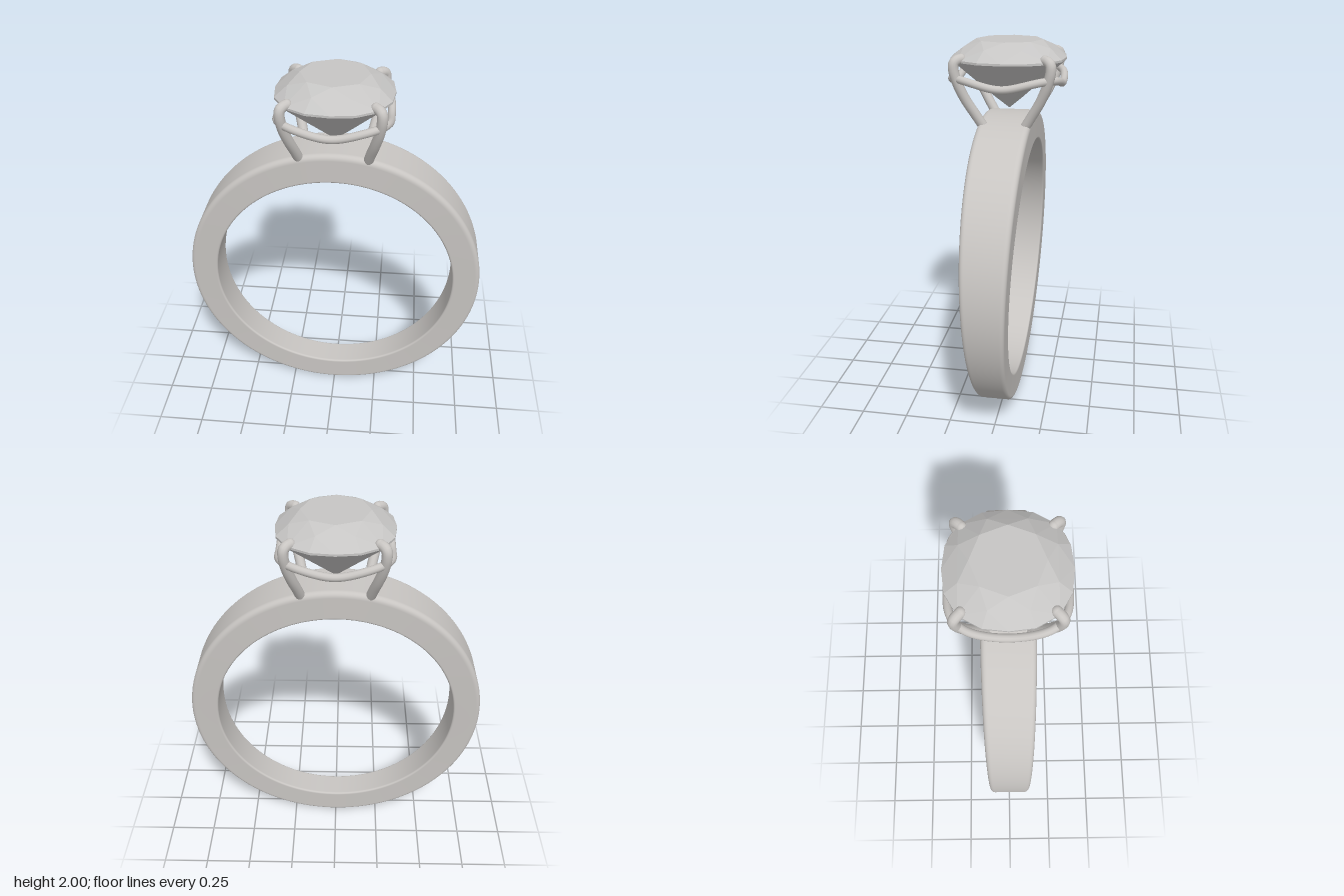
import * as THREE from 'three';
import { ConvexGeometry } from 'three/addons/geometries/ConvexGeometry.js';

const metal = new THREE.MeshStandardMaterial({ color: 0xc8c5c2 });
metal.name = 'polished metal';
const stone = new THREE.MeshStandardMaterial({ color: 0xc6c5c4 });
stone.name = 'clear stone';

function add(parent, name, geometry, material) {
  const mesh = new THREE.Mesh(geometry, material);
  mesh.name = name;
  parent.add(mesh);
  return mesh;
}

// Point on a rounded-square outline
function cushion(t, radius, power, y) {
  const c = Math.cos(t), s = Math.sin(t);
  const k = radius / Math.pow(Math.abs(c) ** power + Math.abs(s) ** power, 1 / power);
  return new THREE.Vector3(c * k, y, s * k);
}

// Rounded rectangle section (r across, z up), counterclockwise
function bandSection(inner, outer, half) {
  const pts = [];
  const corner = (r, z, rad, start) => {
    for (let k = 0; k <= 6; k++) {
      const a = start + (k / 6) * Math.PI / 2;
      pts.push([r + rad * Math.cos(a), z + rad * Math.sin(a)]);
    }
  };
  const ro = half * 0.2, ri = 0.01, e = 0.004;
  corner(outer - ro, half - ro, ro, 0);
  pts.push([outer - ro - e, half], [inner + ri + e, half]);
  corner(inner + ri, half - ri, ri, Math.PI / 2);
  pts.push([inner, half - ri - e], [inner, -half + ri + e]);
  corner(inner + ri, -half + ri, ri, Math.PI);
  pts.push([inner + ri + e, -half], [outer - ro - e, -half]);
  corner(outer - ro, -half + ro, ro, Math.PI * 1.5);
  pts.push([outer, -half + ro + e], [outer, half - ro - e]);
  return pts;
}

// Band: wider and slightly thicker towards the top
function bandGeometry() {
  const N = 160, pos = [], idx = [];
  let M = 0;
  for (let i = 0; i < N; i++) {
    const a = (i / N) * Math.PI * 2, up = (1 + Math.sin(a)) / 2;
    const section = bandSection(0.672 - 0.02 * up, 0.81, 0.077 + 0.06 * up);
    M = section.length;
    for (const [r, z] of section) pos.push(r * Math.cos(a), 0.81 + r * Math.sin(a), z);
    for (let j = 0; j < M; j++) {
      const p = i * M + j, q = i * M + (j + 1) % M;
      const p2 = ((i + 1) % N) * M + j, q2 = ((i + 1) % N) * M + (j + 1) % M;
      idx.push(p, p2, q2, p, q2, q);
    }
  }
  const g = new THREE.BufferGeometry();
  g.setAttribute('position', new THREE.Float32BufferAttribute(pos, 3));
  g.setIndex(idx);
  g.computeVertexNormals();
  return g;
}

// Brilliant-cut stone as a hull of its facet corners
function gemGeometry() {
  const pts = [new THREE.Vector3(0, 1.645, 0)];
  for (let k = 0; k < 8; k++) {
    const a = k * Math.PI / 4, b = a + Math.PI / 8;
    pts.push(cushion(a, 0.172, 2.1, 2.0));
    pts.push(cushion(b, 0.235, 2.2, 1.967));
    pts.push(cushion(b, 0.075, 2.2, 1.706));
    for (const t of [a, b]) {
      pts.push(cushion(t, 0.296, 2.4, 1.915), cushion(t, 0.296, 2.4, 1.904));
    }
  }
  return new ConvexGeometry(pts);
}

export function createModel() {
  const ring = new THREE.Group();
  ring.name = 'ring';
  add(ring, 'band', bandGeometry(), metal);
  add(ring, 'gem', gemGeometry(), stone);

  // Four prongs that curl over the edge of the stone
  const setting = new THREE.Group();
  setting.name = 'setting';
  ring.add(setting);
  for (const sx of [-1, 1]) for (const sz of [-1, 1]) {
    const path = new THREE.CatmullRomCurve3([
      [0.172, 1.57, 0.1], [0.188, 1.64, 0.142], [0.21, 1.72, 0.188], [0.23, 1.8, 0.222],
      [0.24, 1.87, 0.24], [0.238, 1.905, 0.239], [0.226, 1.918, 0.226], [0.208, 1.922, 0.208],
    ].map(([x, y, z]) => new THREE.Vector3(x * sx, y, z * sz)));
    const prong = new THREE.Group();
    prong.name = 'prong';
    add(prong, 'prongWire', new THREE.TubeGeometry(path, 40, 0.026, 14), metal);
    add(prong, 'prongTip', new THREE.SphereGeometry(0.026, 14, 10), metal)
      .position.set(0.208 * sx, 1.922, 0.208 * sz);
    setting.add(prong);
  }

  // Wavy rail joining the prongs, dipping between them
  const railPoints = [];
  for (let i = 0; i < 48; i++) {
    const t = (i / 48) * Math.PI * 2;
    railPoints.push(cushion(t, 0.279, 3.6, 1.787 + 0.02 * (1 - Math.cos(4 * t))));
  }
  const railPath = new THREE.CatmullRomCurve3(railPoints, true);
  add(setting, 'rail', new THREE.TubeGeometry(railPath, 144, 0.02, 12, true), metal);
  return ring;
}
